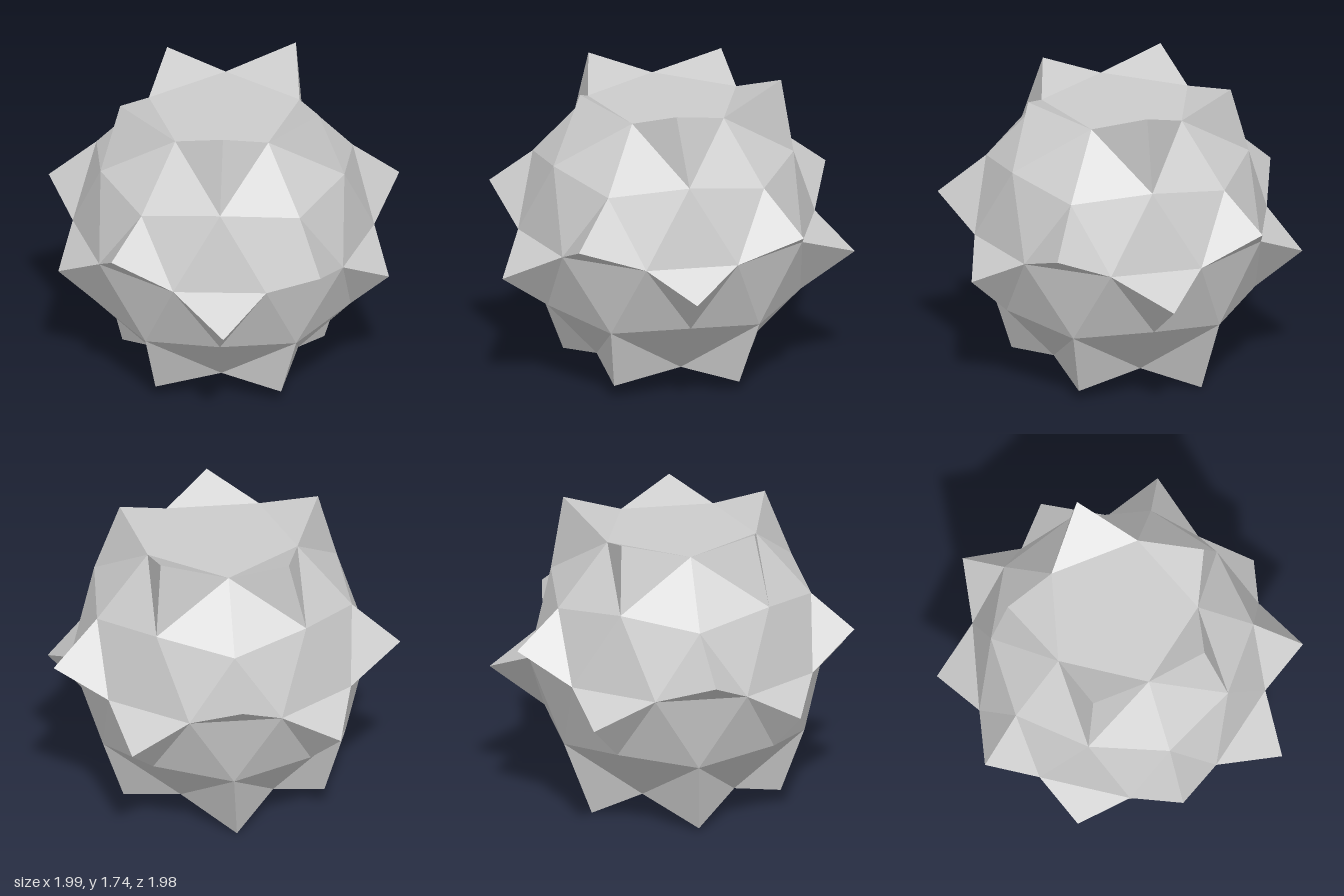
import * as THREE from 'three';

const CENTER = new THREE.Vector3(-0.04, 0.87, -0.02);
const R = 0.84;

// Spike tips for each half, in order of azimuth: round the waist, then round the flat cap
const HALVES = [
  {
    side: 1,
    waist: [[0.99, 1.01, -0.05], [0.23, 1.0, 0.97], [-0.86, 1.05, 0.55], [-0.89, 1.01, -0.58], [0.26, 1.04, -0.99]],
    cap: [[0.4, 1.69, 0.36], [-0.2, 1.71, 0.51], [-0.64, 1.71, -0.02], [-0.19, 1.69, -0.62], [0.49, 1.735, -0.39]],
  },
  {
    side: -1,
    waist: [[-1, 0.71, -0.02], [-0.34, 0.72, -0.99], [0.79, 0.72, -0.67], [0.75, 0.71, 0.56], [-0.34, 0.71, 0.99]],
    cap: [[-0.53, 0.02, -0.35], [0.1, 0, -0.56], [0.54, 0.06, 0], [0.12, 0.08, 0.57], [-0.53, 0.07, 0.3]],
  },
];

// Adds a triangle, turned to face away from the centre
function addFace(list, a, b, c) {
  const normal = b.clone().sub(a).cross(c.clone().sub(a));
  const out = a.clone().add(b).add(c).divideScalar(3).sub(CENTER);
  const corners = normal.dot(out) > 0 ? [a, b, c] : [a, c, b];
  corners.forEach((p) => list.push(p.x, p.y, p.z));
}

// Three-sided pyramid standing on a triangle
function addSpike(list, a, b, c, tipXYZ) {
  const tip = new THREE.Vector3(...tipXYZ);
  addFace(list, a, b, tip);
  addFace(list, b, c, tip);
  addFace(list, c, a, tip);
}

function makeMesh(name, list) {
  const geometry = new THREE.BufferGeometry();
  geometry.setAttribute('position', new THREE.Float32BufferAttribute(list, 3));
  geometry.computeVertexNormals();
  const mesh = new THREE.Mesh(geometry, new THREE.MeshStandardMaterial({ color: 0xcccccc, flatShading: true }));
  mesh.name = name;
  return mesh;
}

export function createModel() {
  const body = [];
  const spikes = { waist: [], cap: [] };

  for (const { side, waist, cap } of HALVES) {
    // Point on the sphere; the lower half is the upper one mirrored through the centre
    const point = (radius, height) => (degrees) => {
      const a = THREE.MathUtils.degToRad(degrees);
      return new THREE.Vector3(radius * Math.cos(a), height, radius * Math.sin(a))
        .multiplyScalar(R * side).add(CENTER);
    };
    const top = point(0.5257, 0.8507);
    const ring = point(0.8507, 0.5257);
    const hub = point(0.8944, 0.4472);
    const equator = point(1, 0);

    for (let k = 0; k < 5; k++) {
      const a = 72 * k;

      // Raised five-sided panel, with its equator facet grown into a spike
      const rim = [equator(a + 18), ring(a + 36), top(a), ring(a - 36), equator(a - 18)];
      for (let i = 0; i < 4; i++) addFace(body, hub(a), rim[i], rim[i + 1]);
      addSpike(spikes.waist, hub(a), rim[4], rim[0], waist[k]);

      // Triangle between panels, and the spike above it beside the cap
      addFace(body, ring(a + 36), equator(a + 18), equator(a + 54));
      addSpike(spikes.cap, top(a), top(a + 72), ring(a + 36), cap[k]);

      // Flat five-sided cap
      if (k > 0 && k < 4) addFace(body, top(0), top(a), top(a + 72));
    }
  }

  const model = new THREE.Group();
  model.name = 'spikedBall';
  model.add(makeMesh('body', body), makeMesh('waistSpikes', spikes.waist), makeMesh('capSpikes', spikes.cap));
  return model;
}
